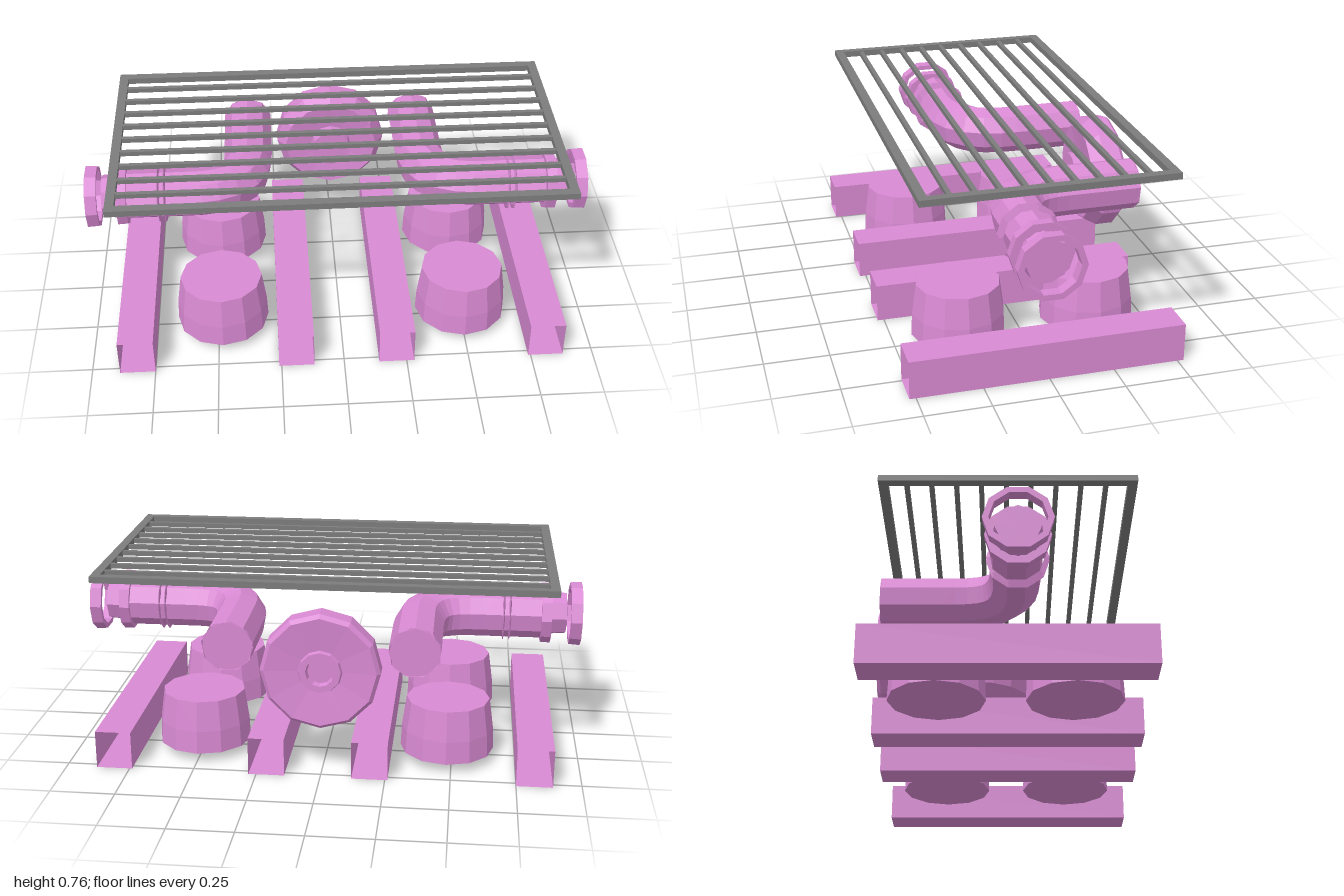
import * as THREE from 'three';

const pink = new THREE.MeshStandardMaterial({ color: 0xd98ad3, flatShading: true, side: THREE.DoubleSide });
const grey = new THREE.MeshStandardMaterial({ color: 0x7c7c7c, flatShading: true });

function add(parent, name, geometry, material, x = 0, y = 0, z = 0) {
  const mesh = new THREE.Mesh(geometry, material);
  mesh.name = name;
  mesh.position.set(x, y, z);
  parent.add(mesh);
  return mesh;
}

const lathe = (points, sides) =>
  new THREE.LatheGeometry(points.map(([r, y]) => new THREE.Vector2(r, y)), sides);

// Open-ended, thin-walled square tube running along z
function railGeometry() {
  const geo = new THREE.CylinderGeometry(Math.SQRT1_2, Math.SQRT1_2, 1, 4, 1, true);
  geo.rotateY(Math.PI / 4).rotateX(Math.PI / 2).scale(0.14, 0.15, 1.05);
  return geo;
}

// Elbow pipe on the +x side: from the back, forward, then out to the side
function elbowPipe() {
  const group = new THREE.Group();
  group.name = 'exhaustPipe';
  const path = new THREE.CurvePath();
  const v = (x, z) => new THREE.Vector3(x, 0.512, z);
  path.add(new THREE.LineCurve3(v(0.355, -0.495), v(0.355, -0.2)));
  path.add(new THREE.CubicBezierCurve3(v(0.355, -0.2), v(0.355, -0.04), v(0.42, 0.03), v(0.58, 0.03)));
  path.add(new THREE.LineCurve3(v(0.58, 0.03), v(0.84, 0.03)));
  add(group, 'pipe', new THREE.TubeGeometry(path, 16, 0.1, 9), pink);
  const backCap = add(group, 'pipeBackCap', new THREE.CircleGeometry(0.1, 9), pink, 0.355, 0.512, -0.49);
  backCap.rotation.y = Math.PI;

  // Narrower spout, flange and floating end ring, all turned about the x axis
  const turned = (name, points, sides, x) => {
    const mesh = add(group, name, lathe(points, sides), pink, x, 0.513, 0.036);
    mesh.rotation.z = -Math.PI / 2;
  };
  turned('spout', [[0.095, 0], [0.085, 0.12], [0, 0.12]], 8, 0.82);
  turned('flange', [[0.09, 0], [0.12, 0], [0.122, 0.04], [0.09, 0.04]], 10, 0.84);
  turned('endRing', [[0.105, 0], [0.125, 0], [0.128, 0.045], [0.105, 0.045], [0.105, 0]], 10, 0.955);
  for (const x of [0.685, 0.71])
    turned('thinRing', [[0.1, 0], [0.118, 0.005], [0.1, 0.01]], 10, x);
  return group;
}

export function createModel() {
  const model = new THREE.Group();

  // Floor rails
  const rail = railGeometry();
  for (const x of [-0.82, -0.19, 0.21, 0.81]) add(model, 'rail', rail, pink, x, 0.075, 0);

  // Four round drums between the rails
  const drum = lathe([[0, 0], [0.184, 0], [0.18, 0.09], [0.163, 0.21], [0, 0.21]], 12);
  for (const x of [-0.48, 0.495])
    for (const z of [0.25, -0.265]) add(model, 'drum', drum, pink, x, 0.04, z);

  // Round housing at the back with a central hub
  const housing = add(model, 'housing', lathe([
    [0, 0.025], [0.05, 0.025], [0.055, 0], [0.08, 0], [0.085, 0.015], [0.215, 0],
    [0.23, 0.015], [0.23, 0.085], [0.195, 0.135], [0.085, 0.12], [0.082, 0.17], [0, 0.17],
  ], 12), pink, 0, 0.43, -0.525);
  housing.rotation.x = Math.PI / 2;

  // Mirrored elbow pipes
  const pipe = elbowPipe();
  const mirrored = elbowPipe();
  mirrored.scale.x = -1;
  model.add(pipe, mirrored);

  // Grate floating above: frame and cross bars
  const grate = new THREE.Group();
  grate.name = 'grate';
  grate.position.y = 0.752;
  const outline = new THREE.Shape();
  outline.moveTo(-0.88, -0.475).lineTo(0.88, -0.475).lineTo(0.88, 0.475).lineTo(-0.88, 0.475).closePath();
  const hole = new THREE.Path();
  hole.moveTo(-0.845, -0.44).lineTo(-0.845, 0.44).lineTo(0.845, 0.44).lineTo(0.845, -0.44).closePath();
  outline.holes.push(hole);
  const frame = new THREE.ExtrudeGeometry(outline, { depth: 0.025, bevelEnabled: false });
  frame.translate(0, 0, -0.0125).rotateX(-Math.PI / 2);
  add(grate, 'grateFrame', frame, grey);
  const bar = new THREE.BoxGeometry(1.7, 0.018, 0.018);
  for (let i = 0; i < 9; i++) add(grate, 'grateBar', bar, grey, 0, 0, -0.372 + i * 0.0915);
  model.add(grate);

  return model;
}
